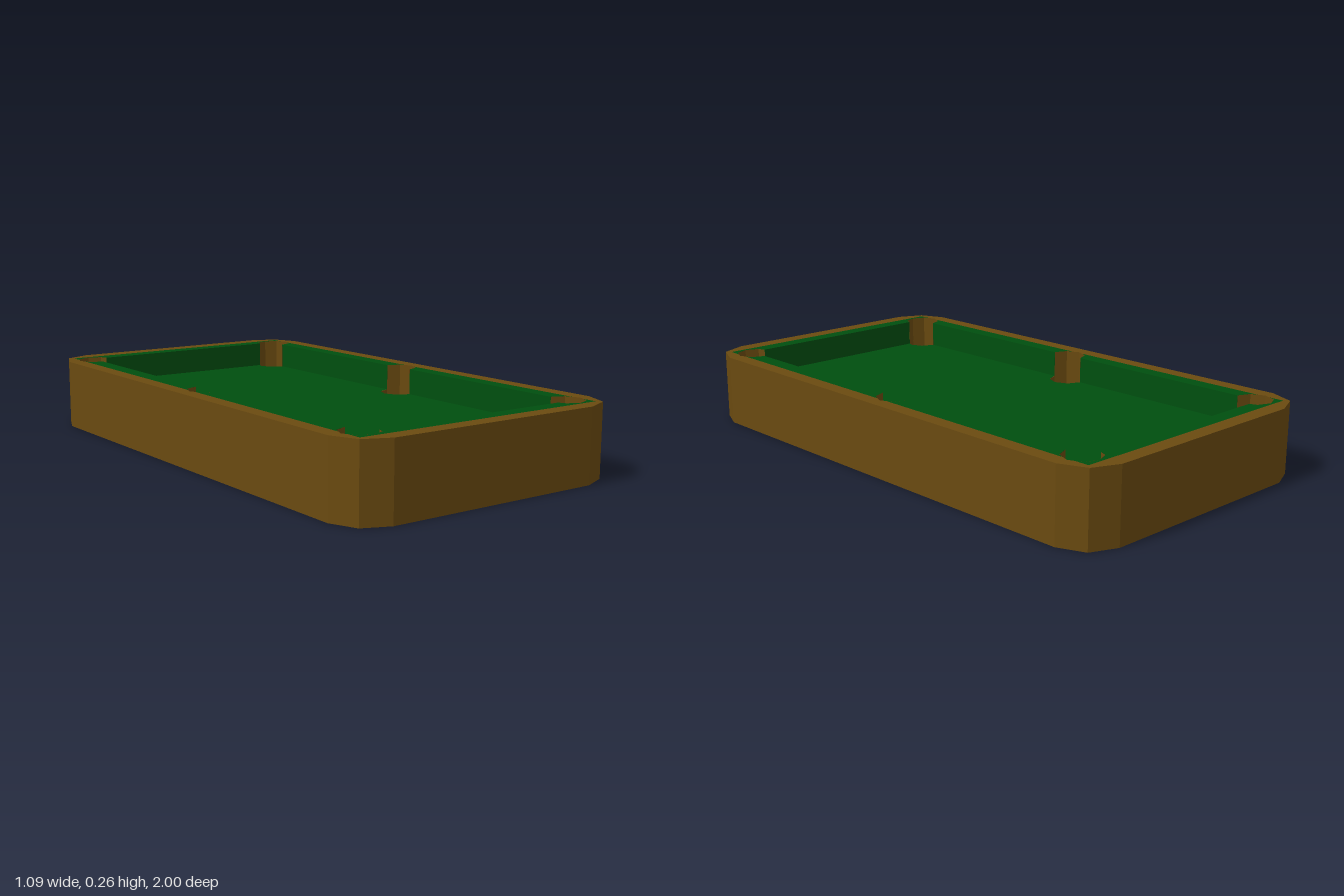
import * as THREE from 'three';

const TOP = 0.26, BED = 0.163;      // rail top and playing surface heights
const CX = 0.432, CZ = 0.865, R = 0.068; // pocket centres and radius
const D = R * Math.SQRT1_2;
const IX = 0.49, IZ = 0.942;        // inside of the wooden rail
const EZ = 0.886;                   // inner edge of the end cushions
const N = 0.024;                    // half width of the pocket notch in the rail
const EX = 0.059;                   // pocket half width at the end cushion edge

const wood = new THREE.MeshStandardMaterial({ color: 0x6a4a10, flatShading: true });
const liner = new THREE.MeshStandardMaterial({ color: 0x6a4a10, flatShading: true, side: THREE.DoubleSide });
const felt = new THREE.MeshStandardMaterial({ color: 0x004f0f, flatShading: true });

const flip = (pts, sx, sz) => pts.map(([x, z]) => [x * sx, z * sz]);
// Reversed so that loops keep their winding when z is negated
const toVectors = (pts) => pts.map(([x, z]) => new THREE.Vector2(x, -z)).reverse();

// Closed loop from one quarter, listed from z = 0 towards the end
function quarterLoop(q) {
  const all = [...q, ...flip(q, -1, 1).reverse(), ...flip(q, -1, -1), ...flip(q, 1, -1).reverse()];
  return all.filter(([x, z], i) => {
    const [px, pz] = all[(i + all.length - 1) % all.length];
    return Math.hypot(x - px, z - pz) > 1e-6;
  });
}

function octagon(cx, cz) {
  return Array.from({ length: 8 }, (_, i) => {
    const a = i * Math.PI / 4;
    return [cx + R * Math.cos(a), cz + R * Math.sin(a)];
  });
}

function makeShape(outline, holes = []) {
  const shape = new THREE.Shape(toVectors(outline));
  for (const h of holes) shape.holes.push(new THREE.Path(toVectors(h)));
  return shape;
}

// Horizontal plate with vertical walls between two heights
function plate(name, material, y0, y1, outline, holes) {
  const geo = new THREE.ExtrudeGeometry(makeShape(outline, holes), { depth: y1 - y0, bevelEnabled: false });
  geo.rotateX(-Math.PI / 2).translate(0, y0, 0);
  const mesh = new THREE.Mesh(geo, material);
  mesh.name = name;
  return mesh;
}

// Thin vertical strip along a path
function wall(name, pts, y0, y1) {
  const pos = [];
  for (let i = 0; i < pts.length - 1; i++) {
    const [ax, az] = pts[i], [bx, bz] = pts[i + 1];
    pos.push(ax, y0, az, bx, y0, bz, bx, y1, bz, ax, y0, az, bx, y1, bz, ax, y1, az);
  }
  const geo = new THREE.BufferGeometry();
  geo.setAttribute('position', new THREE.Float32BufferAttribute(pos, 3));
  geo.computeVertexNormals();
  const mesh = new THREE.Mesh(geo, liner);
  mesh.name = name;
  return mesh;
}

export function createModel() {
  const table = new THREE.Group();
  table.name = 'poolTable';

  const outline = quarterLoop([[0.545, 0.865], [0.505, 0.96], [0.41, 1]]);
  const pockets = [];
  for (const sx of [-1, 1]) for (const z of [-CZ, 0, CZ]) pockets.push(octagon(sx * CX, z));

  // Wooden body with pockets cut right through
  table.add(plate('base', wood, 0, BED, outline, pockets));

  // Wooden rail, slightly notched by the pockets
  const railInside = quarterLoop([
    [CX + R, 0], [IX, N], [IX, CZ - N], [CX + R, CZ], [IX, CZ + N], [IX, IZ],
  ]);
  table.add(plate('rail', wood, BED, TOP, outline, [railInside]));

  // Playing surface
  const bed = quarterLoop([
    [CX - R, 0], [CX - D, D], [CX, R], [CX, CZ - R], [CX - D, CZ - D], [CX - R, CZ], [CX - EX, EZ],
  ]);
  const bedGeo = new THREE.ShapeGeometry(makeShape(bed));
  bedGeo.rotateX(-Math.PI / 2).translate(0, BED + 0.001, 0);
  const bedMesh = new THREE.Mesh(bedGeo, felt);
  bedMesh.name = 'playingSurface';
  table.add(bedMesh);

  // Side cushions between corner and middle pockets
  const side = [[CX, R], [CX + D, D], [IX, N], [IX, CZ - N], [CX + D, CZ - D], [CX, CZ - R]];
  for (const sx of [-1, 1]) for (const sz of [-1, 1]) {
    table.add(plate('sideCushion', felt, BED, TOP, flip(side, sx, sz)));
  }

  // End cushions, wrapping behind the corner pockets
  const half = [[CX - EX, EZ], [CX - D, CZ + D], [CX, CZ + R], [CX + D, CZ + D], [IX, CZ + N], [IX, IZ]];
  const end = [...half, ...flip(half, -1, 1).reverse()];
  for (const sz of [-1, 1]) table.add(plate('endCushion', felt, BED, TOP, flip(end, 1, sz)));

  // Wooden pocket linings, just inside the cut cushions
  const k = 0.99;
  const middle = [[0, -R], [D, -D], [R, 0], [D, D], [0, R]].map(([x, z]) => [CX + x * k, z * k]);
  const corner = [[0, -R], [D, -D], [R, 0], [D, D], [0, R], [-D, D], [-EX, EZ - CZ]]
    .map(([x, z]) => [CX + x * k, CZ + z * k]);
  for (const sx of [-1, 1]) {
    table.add(wall('middlePocketLining', flip(middle, sx, 1), BED, TOP));
    for (const sz of [-1, 1]) table.add(wall('cornerPocketLining', flip(corner, sx, sz), BED, TOP));
  }
  return table;
}
